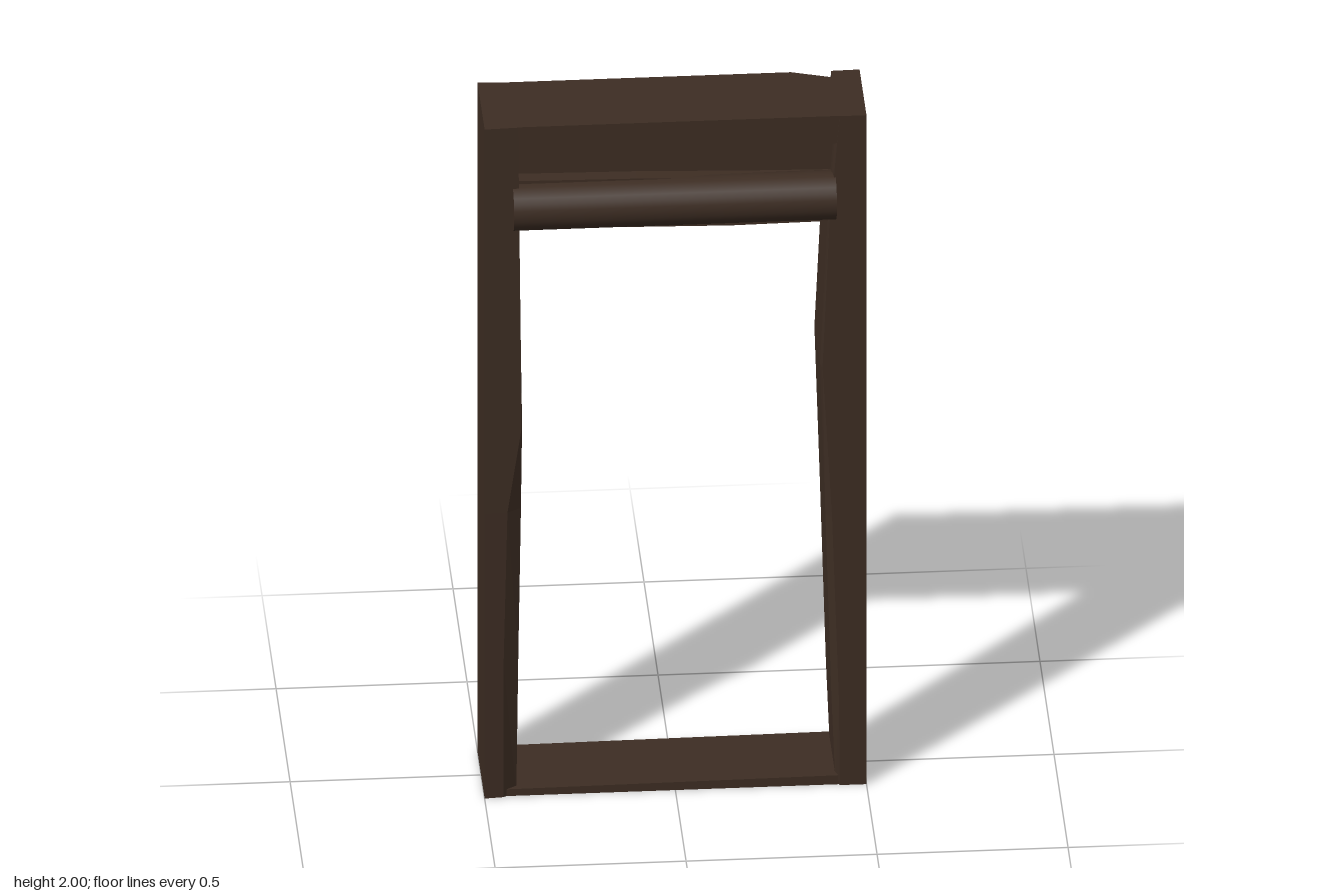
import * as THREE from 'three';

const wood = new THREE.MeshStandardMaterial({ color: 0x3d2d23 });
wood.name = 'darkWood';

function add(group, geometry, name, x = 0, y = 0, z = 0) {
  const mesh = new THREE.Mesh(geometry, wood);
  mesh.name = name;
  mesh.position.set(x, y, z);
  group.add(mesh);
  return mesh;
}

// Hewn post lofted from rows of [y, front edge x, inner face x, back edge x]
function postGeometry(side, rows, depth) {
  const pos = [], index = [], n = 6;
  for (const [y, front, inner, back] of rows) {
    const loop = [[0.5, -depth], [0.5, depth], [front, 0.123], [inner, 0.1], [inner, -0.1], [back, -0.121]];
    for (const [x, z] of loop) pos.push(side * x, y, z);
  }
  const tri = (a, b, c) => (side > 0 ? index.push(a, b, c) : index.push(a, c, b));
  for (let r = 0; r < rows.length - 1; r++) {
    for (let i = 0; i < n; i++) {
      const a = r * n + i, b = r * n + (i + 1) % n;
      tri(a, a + n, b);
      tri(b, a + n, b + n);
    }
  }
  const top = (rows.length - 1) * n;
  for (let i = 1; i < n - 1; i++) {
    tri(0, i, i + 1);
    tri(top, top + i + 1, top + i);
  }
  const g = new THREE.BufferGeometry();
  g.setAttribute('position', new THREE.Float32BufferAttribute(pos, 3));
  g.setIndex(index);
  const flat = g.toNonIndexed();
  flat.computeVertexNormals();
  return flat;
}

// Board with an uneven outline, centred on z = 0
function boardGeometry(points, depth) {
  const shape = new THREE.Shape(points.map(([x, y]) => new THREE.Vector2(x, y)));
  return new THREE.ExtrudeGeometry(shape, { depth, bevelEnabled: false }).translate(0, 0, -depth / 2);
}

export function createModel() {
  const model = new THREE.Group();
  model.name = 'doorFrame';

  // Side posts with worn inner edges
  add(model, postGeometry(-1, [
    [0, 0.45, 0.415, 0.42], [0.4, 0.45, 0.41, 0.415], [0.85, 0.44, 0.403, 0.41],
    [1.1, 0.403, 0.4, 0.405], [1.35, 0.405, 0.405, 0.41], [2, 0.412, 0.412, 0.412],
  ], 0.127), 'rightPost');
  add(model, postGeometry(1, [
    [0, 0.43, 0.42, 0.44], [0.25, 0.428, 0.41, 0.435], [0.8, 0.41, 0.394, 0.42],
    [1.25, 0.385, 0.38, 0.4], [1.68, 0.403, 0.4, 0.41], [2, 0.43, 0.425, 0.425],
  ], 0.123), 'leftPost');

  // Lintel with a wavy underside and one chipped top corner
  const lintel = boardGeometry([
    [-0.42, 1.91], [-0.1, 1.895], [0.17, 1.88], [0.43, 1.92], [0.43, 2], [0.32, 2], [-0.42, 2],
  ], 0.243);
  const p = lintel.attributes.position;
  for (let i = 0; i < p.count; i++) {
    if (p.getX(i) > 0.4 && p.getY(i) > 1.99 && p.getZ(i) < 0) p.setZ(i, -0.085);
  }
  lintel.computeVertexNormals();
  add(model, lintel, 'lintel');

  // Recessed panel between lintel and crossbeam
  add(model, new THREE.BoxGeometry(0.84, 0.14, 0.13), 'recessedPanel', 0, 1.86, 0);

  // Crossbeam
  add(model, boardGeometry([
    [-0.42, 1.688], [0.15, 1.675], [0.41, 1.678], [0.42, 1.81], [0.2, 1.815], [-0.1, 1.825], [-0.42, 1.83],
  ], 0.21), 'crossbeam');

  // Round poles on both faces
  for (const [name, z] of [['frontPole', 0.104], ['backPole', -0.104]]) {
    const pole = new THREE.CylinderGeometry(0.065, 0.065, 0.845, 24).rotateZ(Math.PI / 2);
    add(model, pole, name, -0.003, 1.756, z);
  }

  // Threshold board
  add(model, boardGeometry([[-0.45, 0], [0.44, 0], [0.44, 0.027], [-0.45, 0.02]], 0.236), 'threshold');

  return model;
}
